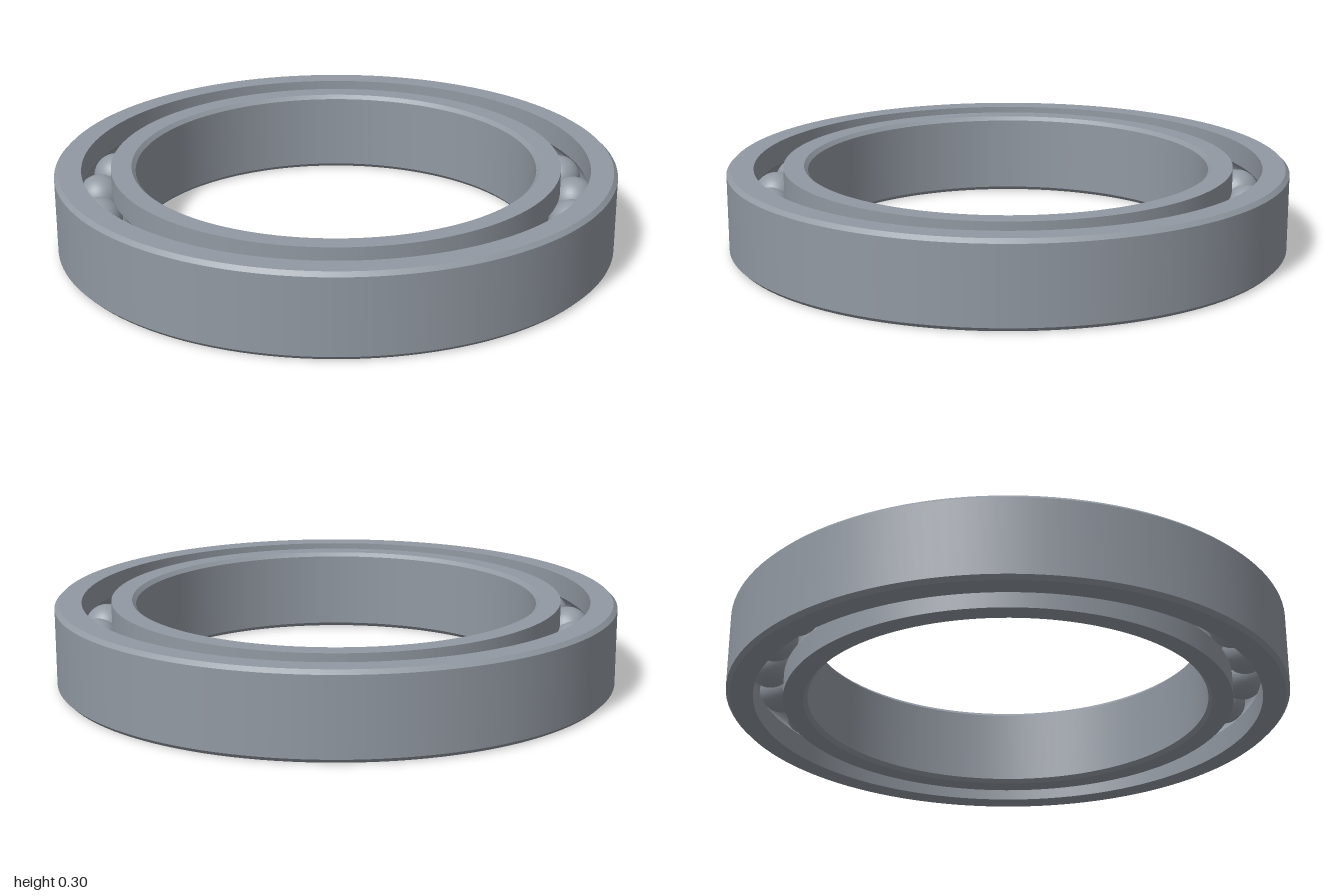
import * as THREE from 'three';
import { mergeGeometries } from 'three/addons/utils/BufferGeometryUtils.js';

const HEIGHT = 0.3, MID = HEIGHT / 2;
const PITCH = 0.853, BALL_R = 0.081, GROOVE_R = 0.083;
const BALLS = 24, CHAMFER = 0.014;

// Revolves each profile section on its own, so section joints stay sharp
function revolve(sections) {
  return mergeGeometries(sections.map((section) =>
    new THREE.LatheGeometry(section.map(([r, y]) => new THREE.Vector2(r, y)), 128)));
}

// Ring with chamfers on its plain wall and a ball groove in its race wall
function ringGeometry(wall, race) {
  const side = Math.sign(race - PITCH);
  const sweep = Math.acos(Math.abs(race - PITCH) / GROOVE_R);
  const half = GROOVE_R * Math.sin(sweep);
  const chamferR = wall - side * CHAMFER;

  // groove arc from bottom to top
  const groove = [];
  for (let i = 0; i <= 16; i++) {
    const a = sweep * (i / 8 - 1);
    groove.push([PITCH + side * GROOVE_R * Math.cos(a), MID + GROOVE_R * Math.sin(a)]);
  }
  const raceWall = [
    [[race, 0], [race, MID - half]],
    groove,
    [[race, MID + half], [race, HEIGHT]],
  ];
  const plainWall = [
    [[chamferR, 0], [wall, CHAMFER]],
    [[wall, CHAMFER], [wall, HEIGHT - CHAMFER]],
    [[wall, HEIGHT - CHAMFER], [chamferR, HEIGHT]],
  ];
  // wall sections run upward where they face outward, downward where they face the axis
  const flip = (sections) => sections.map((s) => [...s].reverse());
  const inner = Math.min(chamferR, race), outer = Math.max(chamferR, race);
  const walls = wall > race
    ? [...plainWall, ...flip(raceWall)]
    : [...raceWall, ...flip(plainWall)];
  return revolve([
    ...walls,
    [[outer, HEIGHT], [inner, HEIGHT]],
    [[inner, 0], [outer, 0]],
  ]);
}

export function createModel() {
  const model = new THREE.Group();
  model.name = 'ballBearing';
  const steel = new THREE.MeshStandardMaterial({ color: 0x9299a2 });
  steel.name = 'steel grey';

  // outer and inner races
  const outerRing = new THREE.Mesh(ringGeometry(1, 0.905), steel);
  outerRing.name = 'outerRing';
  const innerRing = new THREE.Mesh(ringGeometry(0.714, 0.801), steel);
  innerRing.name = 'innerRing';
  model.add(outerRing, innerRing);

  // rolling balls
  const balls = new THREE.Group();
  balls.name = 'balls';
  const ballGeometry = new THREE.SphereGeometry(BALL_R, 32, 20);
  for (let i = 0; i < BALLS; i++) {
    const a = (i / BALLS) * Math.PI * 2 - THREE.MathUtils.degToRad(3);
    const ball = new THREE.Mesh(ballGeometry, steel);
    ball.name = `ball${i + 1}`;
    ball.position.set(PITCH * Math.cos(a), MID, PITCH * Math.sin(a));
    balls.add(ball);
  }
  model.add(balls);
  return model;
}
